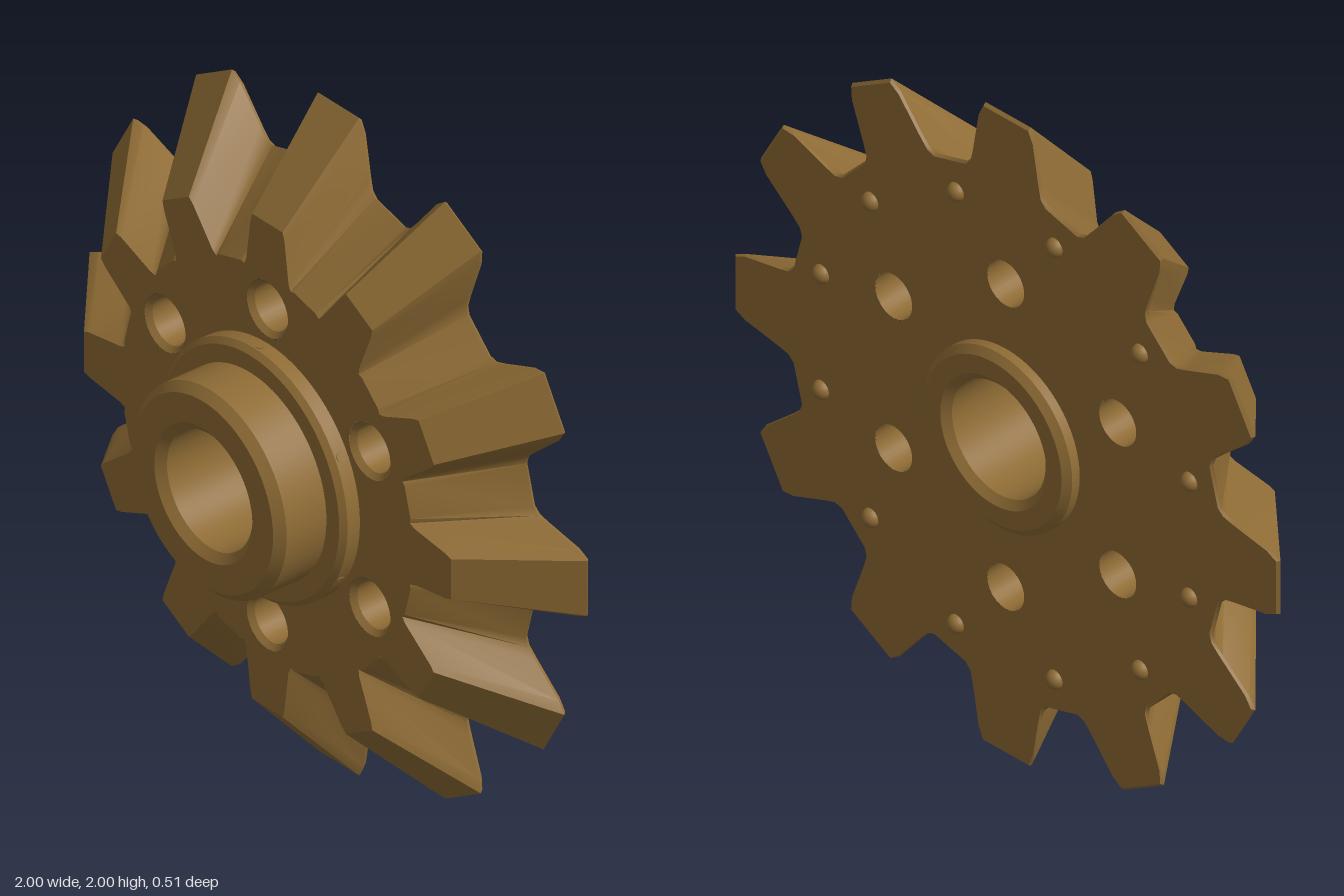
import * as THREE from 'three';
import { toCreasedNormals } from 'three/addons/utils/BufferGeometryUtils.js';

const TEETH = 12, BACK = -0.21, FRONT = 0.04, BOLT_R = 0.475;

// Half a tooth as [sideways, outward] pairs, from valley to tip
const backHalf = [[0.148, 0.785], [0.13, 0.805], [0.122, 0.84], [0.1, 0.965], [0.083, 1.0]];
const frontHalf = [[0.107, 0.575], [0.093, 0.572], [0.085, 0.59], [0.068, 0.715], [0.061, 0.737]];

// Full gear outline, anticlockwise seen from the front
function outline(half, scale = 1) {
  const tooth = [...half.map(([t, r]) => [-t, r]), ...half.slice().reverse()];
  const pts = [];
  for (let k = 0; k < TEETH; k++) {
    const a = (k / TEETH) * Math.PI * 2, c = Math.cos(a), s = Math.sin(a);
    for (const [t, r] of tooth) {
      pts.push(new THREE.Vector2(r * c - t * s, r * s + t * c).multiplyScalar(scale));
    }
  }
  return pts;
}

// Side wall through a stack of outlines, back to front
function wallGeometry(layers) {
  const pos = [], idx = [], n = layers[0].pts.length;
  for (const { pts, z } of layers) for (const p of pts) pos.push(p.x, p.y, z);
  for (let l = 0; l < layers.length - 1; l++) {
    for (let i = 0; i < n; i++) {
      const j = (i + 1) % n, a = l * n + i, b = l * n + j;
      idx.push(a, b, b + n, a, b + n, a + n);
    }
  }
  const g = new THREE.BufferGeometry();
  g.setAttribute('position', new THREE.Float32BufferAttribute(pos, 3));
  g.setIndex(idx);
  return toCreasedNormals(g, 0.55);
}

// Turned part around the z axis from [radius, z] pairs
function turned(profile, segments) {
  const g = new THREE.LatheGeometry(profile.map(([r, z]) => new THREE.Vector2(r, z)), segments);
  g.rotateX(Math.PI / 2);
  return toCreasedNormals(g, 0.5);
}

function boltCentres() {
  return Array.from({ length: 6 }, (_, k) => {
    const a = Math.PI / 6 + (k * Math.PI) / 3;
    return [Math.cos(a) * BOLT_R, Math.sin(a) * BOLT_R];
  });
}

// Flat gear face pierced by the hub and bolt holes
function faceGeometry(pts, holeRadius) {
  const shape = new THREE.Shape(pts);
  const cut = (x, y, r) => shape.holes.push(new THREE.Path().absarc(x, y, r, 0, Math.PI * 2, true));
  cut(0, 0, 0.23);
  for (const [x, y] of boltCentres()) cut(x, y, holeRadius);
  return new THREE.ShapeGeometry(shape, 24);
}

export function createModel() {
  const model = new THREE.Group();
  model.name = 'bevelGear';
  const bronze = new THREE.MeshStandardMaterial({ color: 0x8f6c35 });
  bronze.name = 'bronze';

  const gear = new THREE.Group();
  gear.name = 'gear';
  gear.position.y = 1;
  model.add(gear);
  const add = (geometry, name) => {
    const mesh = new THREE.Mesh(geometry, bronze);
    mesh.name = name;
    gear.add(mesh);
    return mesh;
  };

  // Toothed body with a narrow chamfer at the back edge
  const rim = outline(backHalf), backEdge = outline(backHalf, 0.992), frontEdge = outline(frontHalf);
  add(wallGeometry([
    { pts: backEdge, z: BACK },
    { pts: rim, z: BACK + 0.009 },
    { pts: frontEdge, z: FRONT },
  ]), 'teeth');
  add(faceGeometry(frontEdge, 0.083), 'frontFace').position.z = FRONT;
  const back = add(faceGeometry(backEdge, 0.068), 'backFace');
  back.rotation.y = Math.PI;
  back.position.z = BACK;

  // Countersunk bolt holes
  const holeGeometry = turned([[0.083, FRONT], [0.068, FRONT - 0.015], [0.068, BACK]], 24);
  for (const [x, y] of boltCentres()) add(holeGeometry, 'boltHole').position.set(x, y, 0);

  // Hub with collar, back boss and chamfered bore
  add(turned([
    [0.172, -0.235], [0.195, -0.255], [0.25, -0.255], [0.272, -0.238], [0.272, BACK + 0.01],
    [0.272, FRONT - 0.01], [0.372, FRONT - 0.01], [0.372, 0.082], [0.356, 0.097], [0.305, 0.097],
    [0.305, 0.232], [0.28, 0.257], [0.197, 0.257], [0.172, 0.235], [0.172, -0.235],
  ], 64), 'hub');

  // Set screws around the collar
  const screw = new THREE.CylinderGeometry(0.012, 0.012, 0.008, 10);
  for (let k = 0; k < 6; k++) {
    const a = Math.PI / 6 + (k * Math.PI) / 3;
    const mesh = add(screw, 'setScrew');
    mesh.position.set(Math.cos(a) * 0.37, Math.sin(a) * 0.37, 0.065);
    mesh.rotation.z = a - Math.PI / 2;
  }

  // Domed rivets on the back face
  const rivet = new THREE.SphereGeometry(0.028, 16, 10);
  for (let k = 0; k < TEETH; k++) {
    const a = ((k + 0.5) / TEETH) * Math.PI * 2;
    add(rivet, 'rivet').position.set(Math.cos(a) * 0.7, Math.sin(a) * 0.7, BACK + 0.002);
  }

  return model;
}
